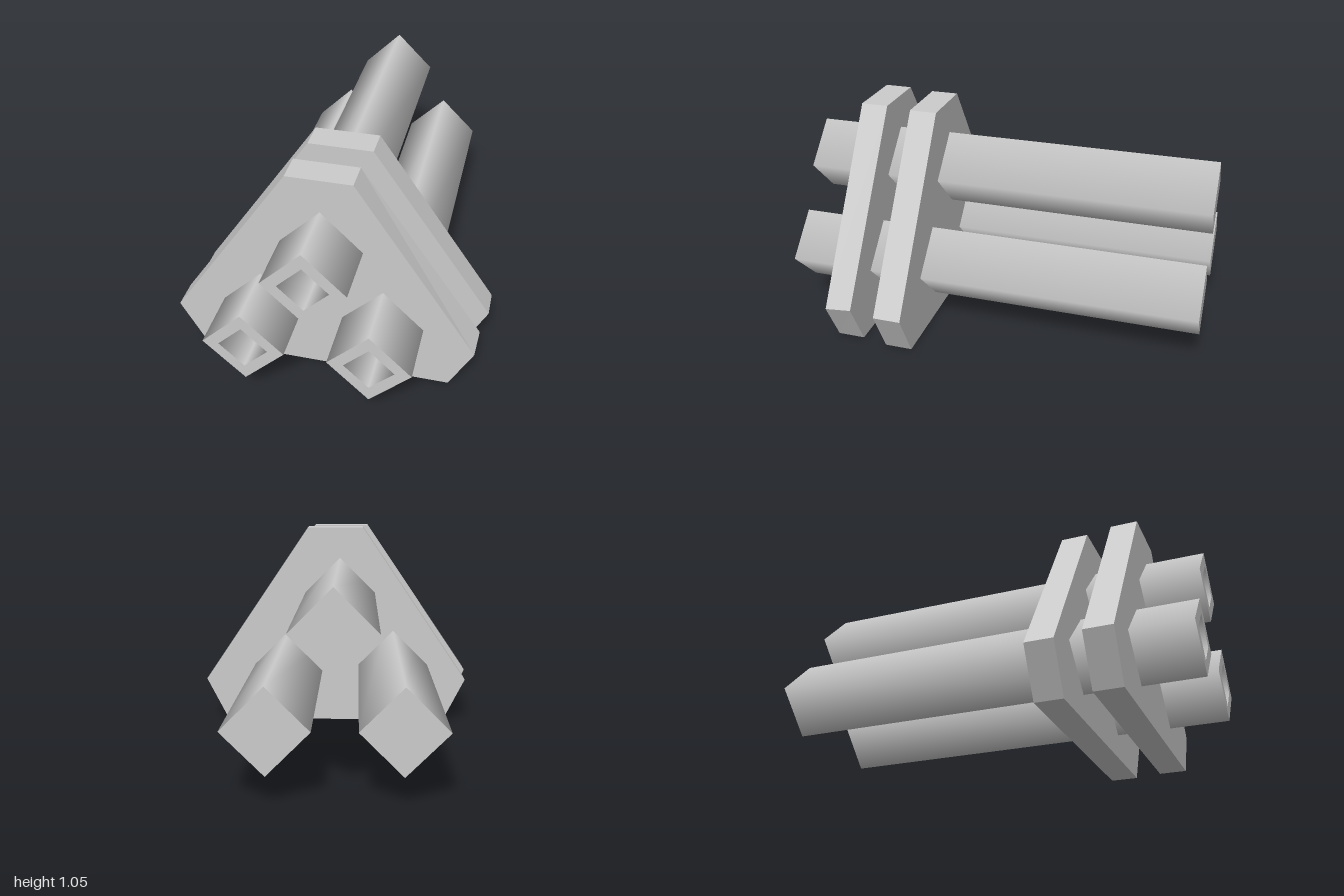
import * as THREE from 'three';

const material = new THREE.MeshStandardMaterial({ color: 0xcccccc });
const inside = new THREE.MeshStandardMaterial({ color: 0xcccccc, side: THREE.BackSide });

const OUTER = 0.186, INNER = 0.112, LENGTH = 2, BORE = 1.8;

function add(group, name, geometry, mat = material) {
  const mesh = new THREE.Mesh(geometry, mat);
  mesh.name = name;
  group.add(mesh);
  return mesh;
}

// Four-sided smooth-shaded barrel: blind bore at the front, closed at the back
function createBarrel(name, x, y) {
  const barrel = new THREE.Group();
  barrel.name = name;
  const wall = (r, length) => new THREE.CylinderGeometry(r, r, length, 4, 1, true).rotateX(Math.PI / 2);

  add(barrel, 'barrelWall', wall(OUTER, LENGTH));
  add(barrel, 'boreWall', wall(INNER, BORE), inside).position.z = (LENGTH - BORE) / 2;
  add(barrel, 'muzzleRim', new THREE.RingGeometry(INNER, OUTER, 4)).position.z = LENGTH / 2;
  add(barrel, 'boreFloor', new THREE.CircleGeometry(INNER, 4)).position.z = LENGTH / 2 - BORE;
  add(barrel, 'backCap', new THREE.CircleGeometry(OUTER, 4).rotateY(Math.PI)).position.z = -LENGTH / 2;

  barrel.position.set(x, y, 0);
  return barrel;
}

// Six-cornered clamp plate
function createPlateGeometry() {
  const outline = [[-0.59, 0], [0.59, 0], [0.705, 0.225], [0.147, 1.05], [-0.147, 1.05], [-0.705, 0.225]];
  const shape = new THREE.Shape(outline.map(([x, y]) => new THREE.Vector2(x, y)));
  return new THREE.ExtrudeGeometry(shape, { depth: 0.132, bevelEnabled: false });
}

export function createModel() {
  const model = new THREE.Group();
  model.name = 'tripleBarrel';

  model.add(
    createBarrel('topBarrel', -0.013, 0.703),
    createBarrel('rightBarrel', -0.3, 0.308),
    createBarrel('leftBarrel', 0.263, 0.308)
  );

  add(model, 'rearPlate', createPlateGeometry()).position.set(0.012, 0, 0.325);

  // The front plate has one slightly pulled-in corner on its front left
  const front = createPlateGeometry();
  const p = front.attributes.position;
  for (let i = 0; i < p.count; i++) {
    if (p.getX(i) > 0.7 && p.getZ(i) > 0.1) p.setXY(i, 0.698, 0.208);
  }
  front.computeVertexNormals();
  add(model, 'frontPlate', front).position.set(-0.014, 0, 0.586);

  return model;
}
